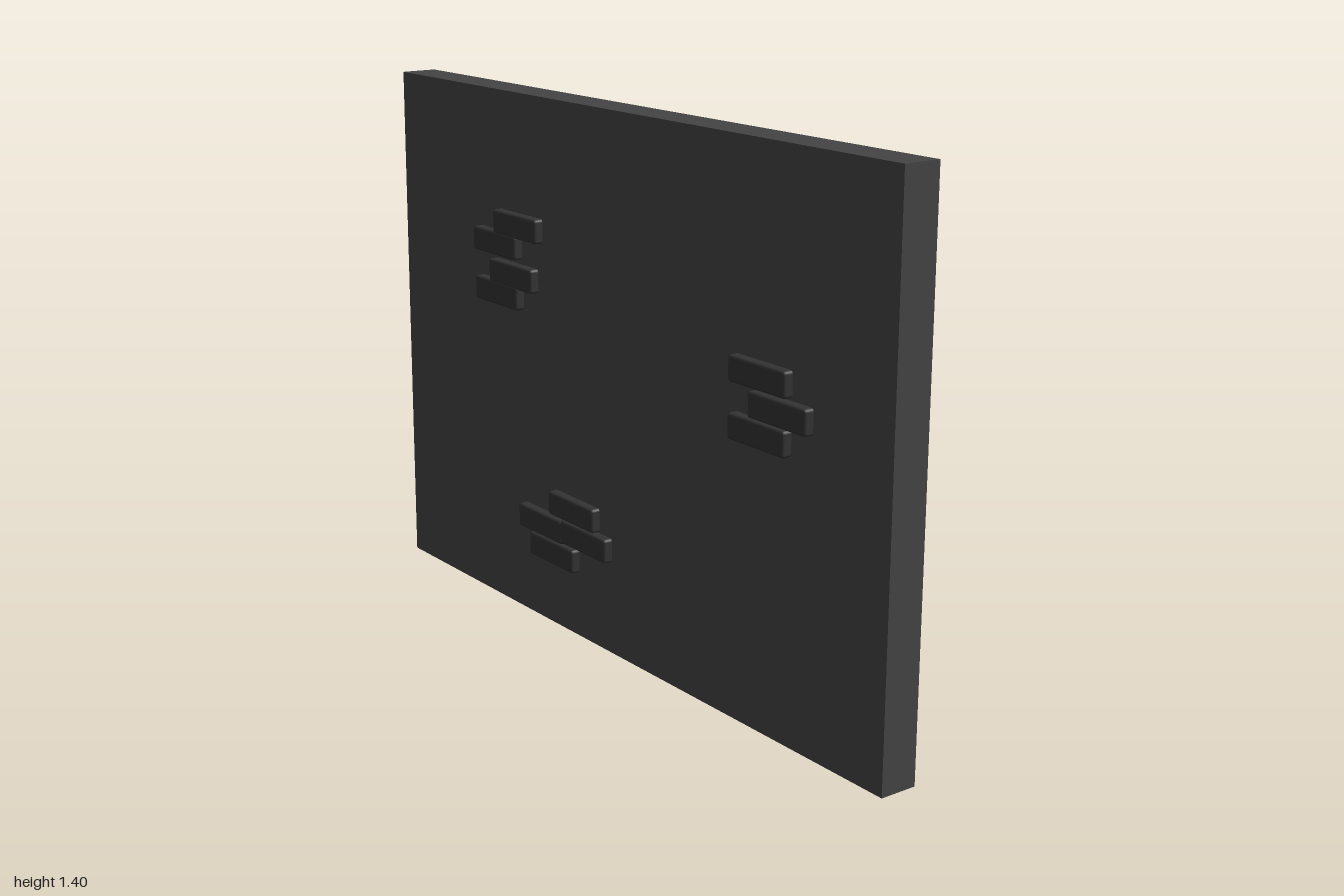
import * as THREE from 'three';
import { RoundedBoxGeometry } from 'three/addons/geometries/RoundedBoxGeometry.js';

export function createModel() {
  const model = new THREE.Group();
  model.name = 'brickWall';
  const wallMaterial = new THREE.MeshStandardMaterial({ color: 0x444444 });
  const brickMaterial = new THREE.MeshStandardMaterial({ color: 0x333333 });

  // Plain wall slab
  const wall = new THREE.Mesh(new THREE.BoxGeometry(2, 1.4, 0.099), wallMaterial);
  wall.name = 'wall';
  wall.position.set(0, 0.7, -0.0125);
  model.add(wall);

  // Clusters of exposed bricks, as [x, y] centres
  const clusters = {
    upperRightBricks: [[-0.414, 1.056], [-0.511, 0.998], [-0.436, 0.922], [-0.505, 0.865]],
    leftBricks: [[0.572, 0.868], [0.644, 0.798], [0.572, 0.731]],
    lowerBricks: [[-0.166, 0.345], [-0.307, 0.274], [-0.112, 0.279], [-0.257, 0.208]],
  };
  // Softly rounded brick, its back half sunk into the wall
  const brickGeometry = new RoundedBoxGeometry(0.2, 0.064, 0.05, 2, 0.008);
  for (const [name, centres] of Object.entries(clusters)) {
    const cluster = new THREE.Group();
    cluster.name = name;
    for (const [x, y] of centres) {
      const brick = new THREE.Mesh(brickGeometry, brickMaterial);
      brick.name = 'brick';
      brick.position.set(x, y, 0.037);
      cluster.add(brick);
    }
    model.add(cluster);
  }
  return model;
}
